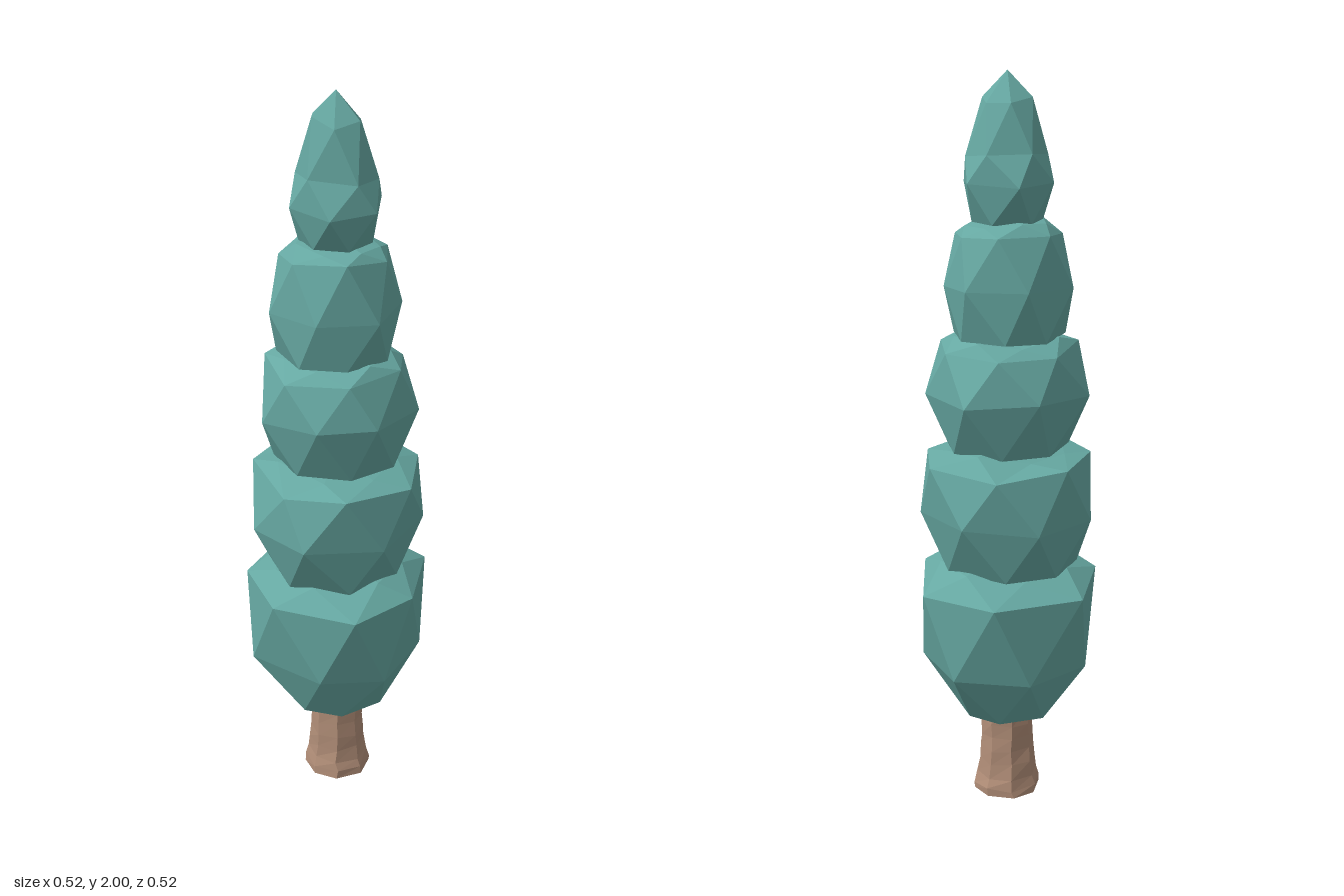
import * as THREE from 'three';

// Small seeded generator giving values in -1..1
function seeded(seed) {
  let s = seed;
  return () => {
    s = (s * 16807) % 2147483647;
    return (s / 2147483647) * 2 - 1;
  };
}

// Faceted loft through rings [y, radius], closed by a centre point at each end
function loft(rings, { sides, twist, start = 0, bottom, top, wobble, lift, seed }) {
  const rand = seeded(seed);
  const pos = [], index = [];
  const step = (Math.PI * 2) / sides;
  rings.forEach(([y, r], i) => {
    for (let j = 0; j < sides; j++) {
      const a = start + (j + i * twist + rand() * wobble * 2.5) * step;
      const rr = r * (1 + rand() * wobble);
      pos.push(Math.cos(a) * rr, y + rand() * lift * (i > 0 ? 1 : 0), Math.sin(a) * rr);
    }
  });
  const low = rings.length * sides, high = low + 1;
  pos.push(0, bottom, 0, 0, top, 0);
  for (let j = 0; j < sides; j++) {
    const k = (j + 1) % sides;
    for (let i = 0; i < rings.length - 1; i++) {
      const a = i * sides, b = a + sides;
      index.push(a + j, b + j, a + k, a + k, b + j, b + k);
    }
    const t = (rings.length - 1) * sides;
    index.push(low, j, k, high, t + k, t + j);
  }
  const indexed = new THREE.BufferGeometry();
  indexed.setAttribute('position', new THREE.Float32BufferAttribute(pos, 3));
  indexed.setIndex(index);
  const geometry = indexed.toNonIndexed();
  geometry.computeVertexNormals();
  return geometry;
}

export function createModel() {
  const group = new THREE.Group();
  group.name = 'tree';
  const foliage = new THREE.MeshStandardMaterial({ color: 0x66a8a2 });
  foliage.name = 'foliage teal';
  const bark = new THREE.MeshStandardMaterial({ color: 0xb08d77 });
  bark.name = 'bark brown';

  const add = (name, geometry, material) => {
    const mesh = new THREE.Mesh(geometry, material);
    mesh.name = name;
    group.add(mesh);
  };

  // Trunk: flared foot, slightly rough bark rings
  const trunkRings = [[0, 0.094], [0.02, 0.093], [0.05, 0.084], [0.09, 0.079],
    [0.13, 0.076], [0.17, 0.074], [0.21, 0.073], [0.26, 0.072]];
  add('trunk', loft(trunkRings, {
    sides: 8, twist: 0, start: Math.PI / 8, bottom: 0, top: 0.27, wobble: 0.025, lift: 0.006, seed: 11,
  }), bark);

  // Foliage tiers, bottom to top: rings of [y, radius]
  const tiers = [
    { bottom: 0.24, top: 0.71, rings: [[0.25, 0.135], [0.41, 0.235], [0.64, 0.262], [0.685, 0.18]] },
    { bottom: 0.67, top: 1.03, rings: [[0.68, 0.185], [0.83, 0.246], [0.98, 0.234], [1.01, 0.165]] },
    { bottom: 1.0, top: 1.33, rings: [[1.01, 0.165], [1.16, 0.222], [1.29, 0.19], [1.31, 0.14]] },
    { bottom: 1.3, top: 1.63, rings: [[1.315, 0.152], [1.45, 0.177], [1.59, 0.145], [1.61, 0.11]] },
    { bottom: 1.6, top: 2.0, rings: [[1.615, 0.093], [1.71, 0.128], [1.79, 0.108], [1.93, 0.068]] },
  ];
  tiers.forEach(({ rings, bottom, top }, i) => {
    add(`foliageTier${i + 1}`, loft(rings, {
      sides: i === 4 ? 6 : 7, twist: 0.5, start: i * 0.9, bottom, top,
      wobble: 0.045, lift: 0.012, seed: 101 + i * 37,
    }), foliage);
  });
  return group;
}
